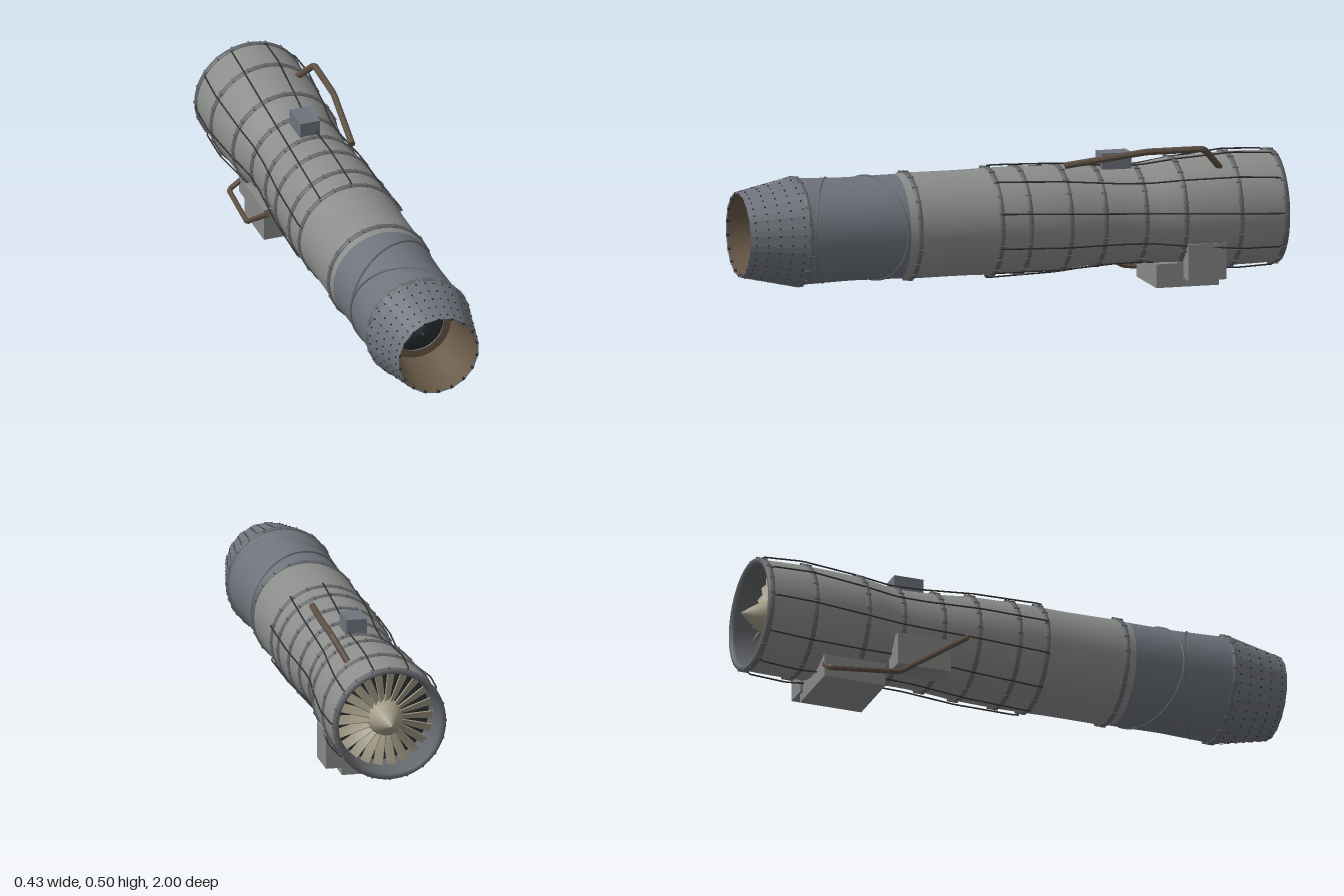
import * as THREE from 'three';
import { mergeGeometries } from 'three/addons/utils/BufferGeometryUtils.js';

const V = (x, y, z) => new THREE.Vector3(x, y, z);
const mat = (color, flatShading = false) =>
  new THREE.MeshStandardMaterial({ color, flatShading, side: THREE.DoubleSide });

const BODY = mat(0x8b8d8b), STEEL = mat(0x6e737c), STEEL_FLAT = mat(0x6e737c, true);
const RING = mat(0x63666a), DARK = mat(0x33312f), BROWN = mat(0x675746), PIPE = mat(0x5d5043, true);
const BLADE = mat(0xa39c88), BLACK = mat(0x2b3032), BOX = mat(0x868886, true);

// Outer casing as [radius, z], back to front
const CASE = [[0.197, -0.965], [0.2, -0.79], [0.191, -0.59], [0.172, -0.45], [0.174, -0.3],
  [0.184, -0.17], [0.188, -0.02], [0.188, 0.085], [0.186, 0.2], [0.187, 0.385]];

function radiusAt(z, table = CASE) {
  for (let i = 1; i < table.length; i++) {
    const [r0, z0] = table[i - 1], [r1, z1] = table[i];
    if (z <= z1) return THREE.MathUtils.lerp(r0, r1, (z - z0) / (z1 - z0));
  }
  return table[table.length - 1][0];
}

export function createModel() {
  const model = new THREE.Group();
  model.name = 'jetEngine';
  const core = new THREE.Group(); // everything turned about the engine axis
  core.name = 'engineCore';
  core.position.y = 0.25;
  model.add(core);

  const add = (name, geometry, material, parent = core) => {
    const m = new THREE.Mesh(geometry, material);
    m.name = name;
    parent.add(m);
    return m;
  };
  const lathe = (name, profile, material, segments = 56) =>
    add(name, new THREE.LatheGeometry(profile.map(([r, z]) => new THREE.Vector2(r, z)), segments)
      .rotateX(Math.PI / 2), material);
  const polar = (r, a, z) => V(r * Math.cos(a), r * Math.sin(a), z);
  const around = (n, fn) => Array.from({ length: n }, (_, i) => fn((i / n) * Math.PI * 2, i));

  // Main casing and exhaust duct
  const curve = new THREE.SplineCurve(CASE.map(([r, z]) => new THREE.Vector2(r, z)));
  lathe('casing', curve.getPoints(45).map(p => [p.x, p.y]), BODY);
  lathe('frontCollar', [[0.187, 0.385], [0.184, 0.42]], BODY);
  lathe('exhaustDuct', [[0.184, 0.42], [0.182, 0.6], [0.188, 0.79]], STEEL);

  // Raised flanges with small bolts
  const bolts = [];
  for (const z of [-0.955, -0.79, -0.59, -0.45, -0.3, -0.17, -0.02, 0.085, 0.385, 0.79]) {
    const r = z > 0.5 ? 0.188 : radiusAt(z), h = 0.008;
    lathe('flange', [[r - 0.004, z - h], [r + 0.006, z - h], [r + 0.006, z + h], [r - 0.004, z + h]], RING);
    around(20, a => {
      const p = polar(r + 0.006, a, z);
      bolts.push(new THREE.BoxGeometry(0.006, 0.006, 0.02).rotateZ(a).translate(p.x, p.y, p.z));
    });
  }
  add('flangeBolts', mergeGeometries(bolts), RING);

  // Slanted swivel joints of the exhaust duct
  for (const s of [-1, 1]) {
    const pts = around(40, a => polar(0.184, a, 0.6 + s * 0.17 * (Math.cos(a) + 1) / 2));
    add('swivelJoint', new THREE.TubeGeometry(new THREE.CatmullRomCurve3(pts, true), 80, 0.004, 6, true), RING);
  }

  // Intake lip, duct, fan and spinner
  lathe('intakeLip', [[0.182, -0.955], [0.186, -0.968], [0.2, -0.968], [0.204, -0.955]], RING);
  lathe('intakeDuct', [[0.172, -0.82], [0.182, -0.955]], RING);
  lathe('intakeBackplate', [[0, -0.82], [0.174, -0.82]], BLACK);
  lathe('spinner', [[0, -1], [0.03, -0.96], [0.055, -0.92], [0.064, -0.88], [0.064, -0.82]], BLADE, 32);
  const fan = around(22, a => {
    const g = new THREE.BoxGeometry(0.12, 0.034, 0.004, 4, 1, 1);
    const p = g.attributes.position;
    for (let i = 0; i < p.count; i++) { // twist from root to tip
      const t = 0.95 - (p.getX(i) + 0.06) * 4, y = p.getY(i), z = p.getZ(i);
      p.setXYZ(i, p.getX(i), y * Math.cos(t) - z * Math.sin(t), y * Math.sin(t) + z * Math.cos(t));
    }
    g.computeVertexNormals();
    return g.translate(0.113, 0, -0.88).rotateZ(a);
  });
  add('fanBlades', mergeGeometries(fan), BLADE);

  // Tapered nozzle: flat flaps, raised seals and rivets
  const N = 18, Z0 = 0.79, Z1 = 1, R0 = 0.194, R1 = 0.15;
  const cone = (r1, r0, seg, start, len) =>
    new THREE.CylinderGeometry(r1, r0, Z1 - Z0, seg, 1, true, start, len)
      .rotateX(Math.PI / 2).translate(0, 0, (Z0 + Z1) / 2);
  add('nozzleFlaps', cone(R1, R0, N, 0, Math.PI * 2), STEEL_FLAT);
  add('nozzleSeals', mergeGeometries(around(N, a => cone(R1 + 0.001, R0 + 0.003, 1, a - 0.06, 0.12))), STEEL_FLAT);
  lathe('nozzleRim', [[0.145, 0.998], [0.15, 1]], STEEL, N);
  const rivets = [];
  around(N, a => {
    for (const side of [-0.085, 0.085]) {
      for (let k = 0; k < 5; k++) {
        const t = 0.1 + k * 0.2, p = polar(THREE.MathUtils.lerp(R0, R1, t) - 0.001, a - Math.PI / 2 + side, Z0 + t * (Z1 - Z0));
        rivets.push(new THREE.BoxGeometry(0.005, 0.005, 0.005).rotateZ(a).translate(p.x, p.y, p.z));
      }
    }
    const tip = polar(0.146, a - Math.PI / 2, 0.995);
    rivets.push(new THREE.BoxGeometry(0.008, 0.008, 0.01).rotateZ(a).translate(tip.x, tip.y, tip.z));
  });
  add('nozzleRivets', mergeGeometries(rivets), DARK);

  // Nozzle interior and tail cone
  lathe('nozzleLiner', [[0.147, 0.998], [0.141, 0.9], [0.134, 0.895], [0.125, 0.78]], BROWN, 36);
  lathe('turbineRing', [[0.126, 0.78], [0.097, 0.78]], BROWN, 36);
  lathe('tailConeBase', [[0.1, 0.72], [0.1, 0.78], [0.053, 0.83]].map(([r, z]) => [r, z - 0.01]), BLACK, 36);
  lathe('tailConeTip', [[0.053, 0.82], [0.006, 0.835], [0.006, 0.845], [0, 0.845]], BLACK, 36);

  // Thin fuel lines winding slightly along the casing
  const LINE = [[0.2, 0.09], [0.202, 0.07], [0.198, -0.16], [0.182, -0.36], [0.18, -0.47],
    [0.197, -0.6], [0.215, -0.8], [0.208, -0.94], [0.196, -0.955]];
  const lines = around(10, a => {
    const path = new THREE.CurvePath();
    const pts = LINE.map(([r, z]) => polar(r, a + 0.04 + 0.24 * (z + 0.95), z));
    for (let i = 1; i < pts.length; i++) path.add(new THREE.LineCurve3(pts[i - 1], pts[i]));
    return new THREE.TubeGeometry(path, 50, 0.003, 5);
  });
  add('fuelLines', mergeGeometries(lines), DARK);

  // Accessory boxes: [name, x0, x1, y0, y1, z0, z1]
  for (const [name, x0, x1, y0, y1, z0, z1, m] of [
    ['gearbox', -0.12, 0.12, 0, 0.085, -0.73, -0.5, BOX],
    ['leftAccessoryBox', 0.09, 0.18, 0.03, 0.16, -0.74, -0.6, BOX],
    ['rightAccessoryBox', -0.19, -0.1, 0.06, 0.18, -0.48, -0.28, BOX],
    ['topControlBox', -0.037, 0.037, 0.4, 0.475, -0.435, -0.325, STEEL_FLAT]]) {
    add(name, new THREE.BoxGeometry(x1 - x0, y1 - y0, z1 - z0), m, model)
      .position.set((x0 + x1) / 2, (y0 + y1) / 2, (z0 + z1) / 2);
  }

  // Bent external pipes, straight runs with rounded elbows
  const pipe = (name, pts, r) => {
    const path = new THREE.CurvePath();
    let from = pts[0];
    for (let i = 1; i < pts.length - 1; i++) {
      const p = pts[i], cut = 0.018;
      const a = p.clone().add(pts[i - 1].clone().sub(p).setLength(cut));
      const b = p.clone().add(pts[i + 1].clone().sub(p).setLength(cut));
      path.add(new THREE.LineCurve3(from, a));
      path.add(new THREE.QuadraticBezierCurve3(a, p, b));
      from = b;
    }
    path.add(new THREE.LineCurve3(from, pts[pts.length - 1]));
    add(name, new THREE.TubeGeometry(path, 60, r, 8), PIPE, model);
    for (const [end, dir] of [[pts[0], pts[1]], [pts[pts.length - 1], pts[pts.length - 2]]]) {
      const cap = add(name + 'Cap', new THREE.CircleGeometry(r, 8), PIPE, model);
      cap.position.copy(end);
      cap.lookAt(end.clone().multiplyScalar(2).sub(dir));
    }
  };
  pipe('topPipe', [V(0.1, 0.452, -0.17), V(0.136, 0.492, -0.46), V(0.14, 0.492, -0.67), V(0.1, 0.415, -0.74)], 0.012);
  pipe('lowerPipe', [V(-0.195, 0.2, -0.22), V(-0.185, 0.03, -0.47), V(-0.16, 0.015, -0.725), V(-0.11, 0.05, -0.725)], 0.01);

  return model;
}
